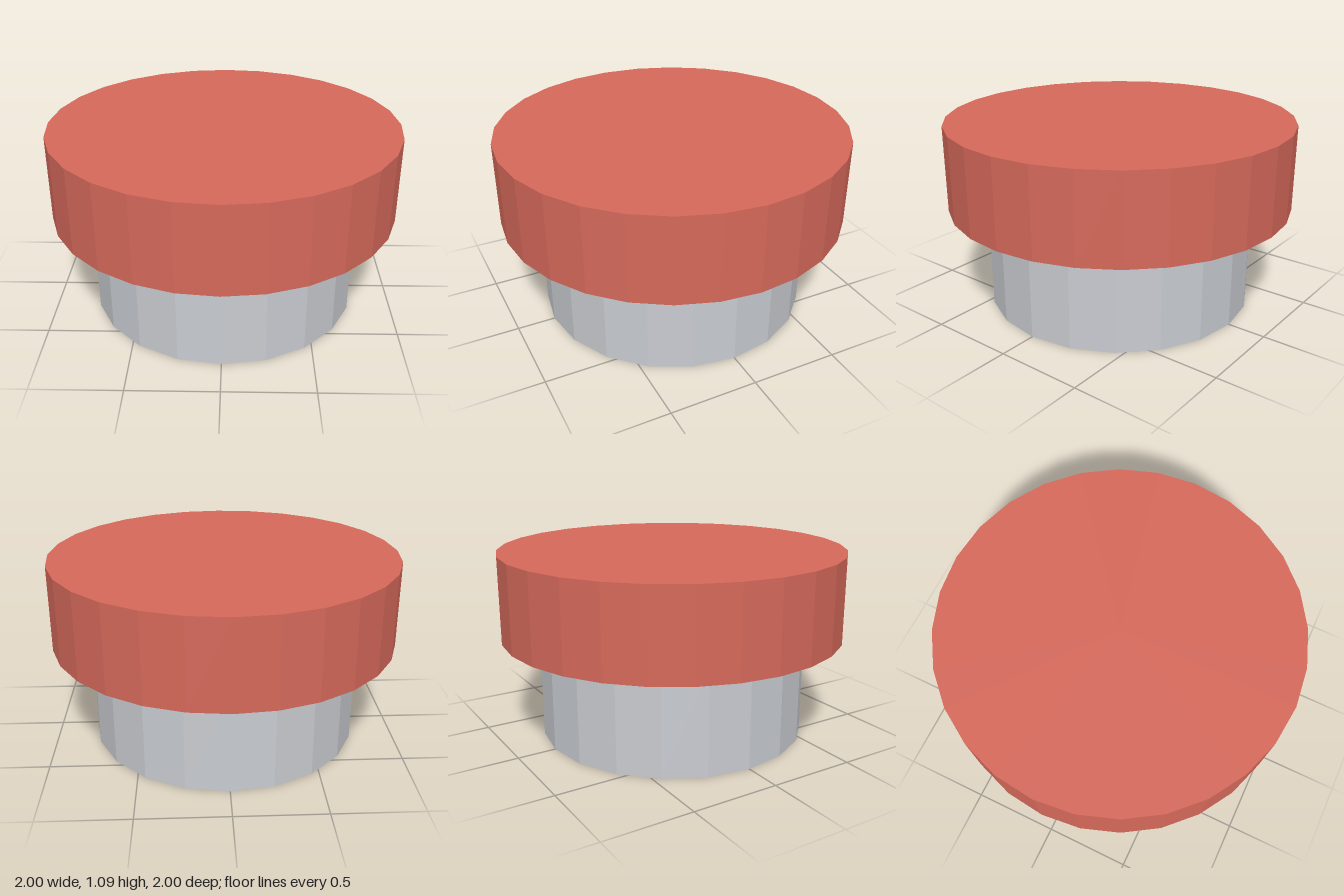
import * as THREE from 'three';

const red = new THREE.MeshStandardMaterial({ color: 0xd6695b });
red.name = 'red';
const grey = new THREE.MeshStandardMaterial({ color: 0xc9ccd1 });
grey.name = 'light grey';

// Faceted upright disc between two heights
function disc(name, radius, bottom, top, sides, material) {
  const geometry = new THREE.CylinderGeometry(radius, radius, top - bottom, sides).toNonIndexed();
  geometry.computeVertexNormals(); // one normal per facet
  const mesh = new THREE.Mesh(geometry, material);
  mesh.name = name;
  mesh.position.y = (bottom + top) / 2;
  return mesh;
}

export function createModel() {
  const model = new THREE.Group();
  model.name = 'button';
  model.add(
    disc('stem', 0.78, 0, 0.59, 20, grey),
    disc('cap', 1, 0.59, 1.085, 28, red),
  );
  return model;
}
